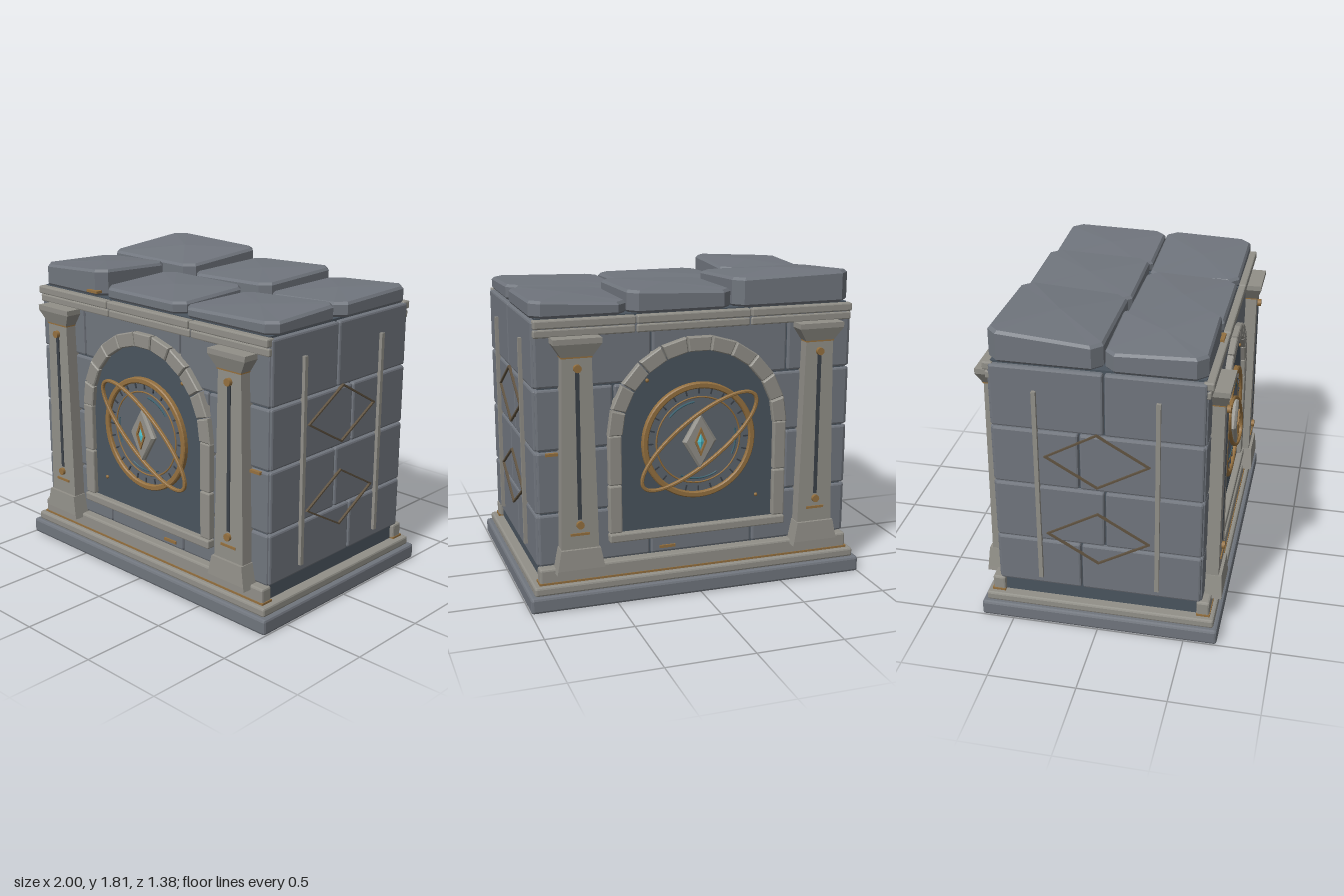
import * as THREE from 'three';
import { RoundedBoxGeometry } from 'three/addons/geometries/RoundedBoxGeometry.js';

const mat = (color) => new THREE.MeshStandardMaterial({ color });
const STONE = mat(0x70757d), TRIM = mat(0x918f88), DARK = mat(0x4a545e), DISC = mat(0x5e656d);
const GOLD = mat(0x94703f), SLOT = mat(0x3b4148), TEAL = mat(0x3f6674), GEM = mat(0x4fc3d0), BRONZE = mat(0x5f5240);

function add(parent, name, geo, material, x = 0, y = 0, z = 0) {
  const m = new THREE.Mesh(geo, material);
  m.name = name;
  m.position.set(x, y, z);
  parent.add(m);
  return m;
}

// Chamfered block given by its limits
function block(parent, name, material, x0, x1, y0, y1, z0, z1, r = 0.012) {
  const g = new RoundedBoxGeometry(x1 - x0, y1 - y0, z1 - z0, 1, r);
  g.computeVertexNormals();
  return add(parent, name, g, material, (x0 + x1) / 2, (y0 + y1) / 2, (z0 + z1) / 2);
}

const bar = (parent, name, material, x, y, z, w, h, d) =>
  add(parent, name, new THREE.BoxGeometry(w, h, d), material, x, y, z);

// Box whose top has another width and depth; its back stays flat at z = 0
function taper(w0, w1, h, d0, d1) {
  const g = new THREE.BoxGeometry(1, h, 1).toNonIndexed(), p = g.attributes.position;
  for (let i = 0; i < p.count; i++) {
    const top = p.getY(i) > 0;
    p.setX(i, p.getX(i) * (top ? w1 : w0));
    p.setZ(i, (p.getZ(i) + 0.5) * (top ? d1 : d0));
    p.setY(i, p.getY(i) + h / 2);
  }
  g.computeVertexNormals();
  return g;
}

// Outline from points, extruded toward +z with an optional small chamfer
function plate(points, depth, bevel = 0, hole) {
  const s = new THREE.Shape(points.map(([x, y]) => new THREE.Vector2(x, y)));
  if (hole) s.holes.push(new THREE.Path(hole.map(([x, y]) => new THREE.Vector2(x, y))));
  return new THREE.ExtrudeGeometry(s, {
    depth: depth - bevel, bevelEnabled: bevel > 0, bevelSize: bevel, bevelThickness: bevel,
    bevelOffset: -bevel, bevelSegments: 1
  });
}
const ellipse = (a, b, n = 64) => Array.from({ length: n }, (_, i) =>
  [a * Math.cos(i / n * Math.PI * 2), b * Math.sin(i / n * Math.PI * 2)]);
const diamond = (w, h) => [[w, 0], [0, h], [-w, 0], [0, -h]];

// Roof slab: chamfered octagon with a height per corner and a centre peak
function slab(x0, x1, z0, z1, [bl, fl, fr, br, mid]) {
  const c = 0.055, y0 = 1.63, cx = (x0 + x1) / 2, cz = (z0 + z1) / 2;
  const ring = [[x0 + c, z0, bl], [x0, z0 + c, bl], [x0, z1 - c, fl], [x0 + c, z1, fl],
    [x1 - c, z1, fr], [x1, z1 - c, fr], [x1, z0 + c, br], [x1 - c, z0, br]];
  const at = (k, y) => ring.map(([x, z, t]) => [cx + (x - cx) * k, y(t), cz + (z - cz) * k]);
  const rings = [at(0.96, () => y0), at(1, () => y0 + 0.015), at(1, (t) => t - 0.015), at(0.96, (t) => t)];
  const v = [];
  for (let i = 0; i < 8; i++) {
    const j = (i + 1) % 8;
    for (let k = 0; k < 3; k++) {
      const [lo, up] = [rings[k], rings[k + 1]];
      v.push(...lo[i], ...lo[j], ...up[j], ...lo[i], ...up[j], ...up[i]);
    }
    v.push(cx, mid, cz, ...rings[3][i], ...rings[3][j]);
    v.push(cx, y0, cz, ...rings[0][j], ...rings[0][i]);
  }
  const g = new THREE.BufferGeometry();
  g.setAttribute('position', new THREE.Float32BufferAttribute(v, 3));
  g.computeVertexNormals();
  return g;
}

const COURSES = [0.235, 0.54, 0.9, 1.25, 1.625];

function pilaster(parent, x) {
  const p = new THREE.Group();
  p.name = 'pilaster';
  p.position.set(x, 0, 0.57);
  parent.add(p);
  add(p, 'pilasterBase', taper(0.28, 0.27, 0.025, 0.12, 0.12), TRIM, 0, 0.21);
  add(p, 'pilasterFoot', taper(0.27, 0.225, 0.115, 0.12, 0.112), TRIM, 0, 0.235);
  add(p, 'shaft', taper(0.215, 0.165, 1.1, 0.095, 0.09), TRIM, 0, 0.34);
  add(p, 'capital', taper(0.17, 0.27, 0.075, 0.095, 0.12), TRIM, 0, 1.43);
  add(p, 'capitalTop', taper(0.27, 0.27, 0.03, 0.12, 0.12), TRIM, 0, 1.505);
  bar(p, 'slot', SLOT, 0, 0.935, 0.092, 0.022, 0.83, 0.01);
  bar(p, 'neckLine', GOLD, 0, 1.43, 0.05, 0.172, 0.01, 0.092);
  bar(p, 'goldBar', GOLD, 0, 0.435, 0.095, 0.11, 0.014, 0.012);
  for (const y of [0.49, 1.37])
    add(p, 'stud', new THREE.CylinderGeometry(0.022, 0.022, 0.025, 12), GOLD, 0, y, 0.1).rotation.x = Math.PI / 2;
}

function medallion(parent, s) {
  const m = new THREE.Group();
  m.name = 'medallion';
  m.position.set(0, 0.895, 0.6);
  parent.add(m);
  add(m, 'disc', new THREE.CylinderGeometry(0.31, 0.31, 0.02, 48), DISC).rotation.x = Math.PI / 2;
  add(m, 'outerRing', plate(ellipse(0.336, 0.336), 0.03, 0.006, ellipse(0.302, 0.302)), GOLD);
  add(m, 'innerRing', new THREE.TorusGeometry(0.25, 0.005, 6, 48), GOLD, 0, 0, 0.01);
  for (let i = 0; i < 24; i++) {
    const a = i / 24 * Math.PI * 2;
    bar(m, 'tick', SLOT, 0.285 * Math.cos(a), 0.285 * Math.sin(a), 0.012, 0.03, 0.008, 0.008).rotation.z = a;
  }
  for (const [start, len] of [[0.7, 0.75], [2.9, 0.7], [4.2, 1.0]]) {
    const arc = add(m, 'tealArc', new THREE.TorusGeometry(0.225, 0.006, 5, 16, len), TEAL, 0, 0, 0.01);
    arc.rotation.z = s > 0 ? start : Math.PI - start - len;
  }
  add(m, 'orbit', plate(ellipse(0.42, 0.145), 0.018, 0.004, ellipse(0.4, 0.125)), GOLD, 0, 0, 0.025).rotation.z = -0.63 * s;
  add(m, 'diamond', plate(diamond(0.1, 0.165), 0.03, 0.014), TRIM, 0, 0, 0.016);
  add(m, 'diamondFrame', plate(diamond(0.036, 0.085), 0.012, 0, diamond(0.024, 0.058)), GOLD, 0, 0, 0.043);
  const gem = add(m, 'gem', new THREE.OctahedronGeometry(1), GEM, 0, 0, 0.045);
  gem.scale.set(0.022, 0.052, 0.008);
}

// One decorated long face; s = -1 flips its uneven details
function face(s) {
  const f = new THREE.Group();
  f.name = s > 0 ? 'frontFace' : 'backFace';
  const span = (name, m, a, b, ...rest) => block(f, name, m, Math.min(a * s, b * s), Math.max(a * s, b * s), ...rest);

  // Stone courses
  [[-0.34, 0.28], [-0.54, 0.1], [-0.2, 0.49], [-0.54, 0.27]].forEach((joints, i) => {
    const xs = [-0.932, ...joints, 0.932];
    for (let k = 0; k < 3; k++)
      span('wallBlock', STONE, xs[k] + 0.004, xs[k + 1] - 0.004, COURSES[i] + 0.004, COURSES[i + 1] - 0.004, 0.5, 0.592);
  });

  // Step and cornice
  block(f, 'step', TRIM, -0.935, 0.935, 0.14, 0.235, 0.56, 0.635);
  bar(f, 'stepLine', GOLD, 0, 0.15, 0.6, 1.88, 0.012, 0.078);
  const cuts = [-0.935, -0.31, 0.36, 0.935];
  for (let k = 0; k < 3; k++) {
    span('corniceLower', TRIM, cuts[k] + 0.004, cuts[k + 1] - 0.004, 1.53, 1.575, 0.56, 0.603, 0.008);
    span('corniceUpper', TRIM, cuts[k] + 0.004, cuts[k + 1] - 0.004, 1.58, 1.627, 0.56, 0.617, 0.008);
  }

  // Arched niche
  const niche = [[-0.47, 0.37], [0.47, 0.37]];
  for (let i = 0; i <= 24; i++)
    niche.push([0.47 * Math.cos(i / 24 * Math.PI), 0.955 + 0.47 * Math.sin(i / 24 * Math.PI)]);
  add(f, 'nichePanel', plate(niche, 0.03), DARK, 0, 0, 0.57);
  block(f, 'sill', TRIM, -0.53, 0.53, 0.345, 0.395, 0.56, 0.64, 0.008);
  for (const x of [-0.4925, 0.4925])
    for (const [a, b] of [[0.398, 0.676], [0.68, 0.965]])
      block(f, 'jambStone', TRIM, x - 0.0375, x + 0.0375, a, b, 0.56, 0.63, 0.008);
  const step = Math.PI / 11, h = step / 2 - 0.008;
  for (let i = 0; i < 11; i++) {
    const pt = (r, a) => [r * Math.cos(a), r * Math.sin(a)];
    const stone = plate([pt(0.45, -h), pt(0.533, -h), pt(0.533, h), pt(0.45, h)], 0.07, 0.006);
    add(f, 'archStone', stone, TRIM, 0, 0.962, 0.56).rotation.z = (i + 0.5) * step;
  }

  medallion(f, s);
  pilaster(f, -0.71);
  pilaster(f, 0.71);

  // Small gold inlays
  for (const [x, y] of [[0.3, 1.26], [-0.36, 0.53]])
    add(f, 'nicheStud', new THREE.SphereGeometry(0.011, 8, 6), GOLD, x * s, y, 0.602);
  bar(f, 'inlay', GOLD, 0.18 * s, 0.275, 0.592, 0.095, 0.016, 0.02);
  bar(f, 'inlay', GOLD, 0.845 * s, 0.885, 0.597, 0.07, 0.016, 0.02);
  if (s < 0) f.rotation.y = Math.PI;
  return f;
}

// One plain short side, at x = +-0.94
function side(s) {
  const g = new THREE.Group();
  g.name = s > 0 ? 'leftSide' : 'rightSide';
  [-0.1, 0.04, -0.1, 0.04].forEach((joint, i) => {
    const zs = [-0.586, joint, 0.586];
    for (let k = 0; k < 2; k++)
      block(g, 'sideBlock', STONE, s > 0 ? 0.84 : -0.94, s > 0 ? 0.94 : -0.84,
        COURSES[i] + 0.004, COURSES[i + 1] - 0.004, zs[k] + 0.004, zs[k + 1] - 0.004);
  });
  for (const z of [-0.335, 0.335]) bar(g, 'sideRod', TRIM, s * 0.947, 0.89, z, 0.026, 1.2, 0.024);
  for (const y of [0.595, 1.095]) {
    const d = add(g, 'sideDiamond', plate(diamond(0.295, 0.17), 0.016, 0, diamond(0.277, 0.159)), BRONZE, s * 0.937, y, 0);
    d.rotation.y = s * Math.PI / 2;
  }
  return g;
}

export function createModel() {
  const root = new THREE.Group();
  root.name = 'stoneShrine';
  block(root, 'plinth', STONE, -1, 1, 0, 0.093, -0.69, 0.69, 0.015);
  block(root, 'plinthStep', TRIM, -0.972, 0.972, 0.09, 0.143, -0.665, 0.665);
  bar(root, 'core', DARK, 0, 0.87, 0, 1.82, 1.525, 1.15);
  root.add(face(1), face(-1), side(1), side(-1));

  // Roof slabs: limits, then corner heights and peak
  const slabs = [
    [-0.93, -0.22, -0.59, 0.03, [1.81, 1.77, 1.765, 1.795, 1.805]],
    [-0.21, 0.395, -0.59, 0.03, [1.735, 1.725, 1.74, 1.755, 1.75]],
    [0.4, 0.94, -0.59, 0.03, [1.7, 1.695, 1.715, 1.725, 1.72]],
    [-0.935, -0.39, 0.04, 0.58, [1.745, 1.76, 1.785, 1.765, 1.775]],
    [-0.38, 0.262, 0.04, 0.58, [1.715, 1.7, 1.7, 1.715, 1.72]],
    [0.27, 0.935, 0.04, 0.58, [1.69, 1.69, 1.705, 1.72, 1.71]]
  ];
  for (const [x0, x1, z0, z1, hs] of slabs) add(root, 'roofSlab', slab(x0, x1, z0, z1, hs), STONE);
  bar(root, 'roofInlay', GOLD, -0.45, 1.66, 0.583, 0.09, 0.014, 0.04);
  return root;
}
